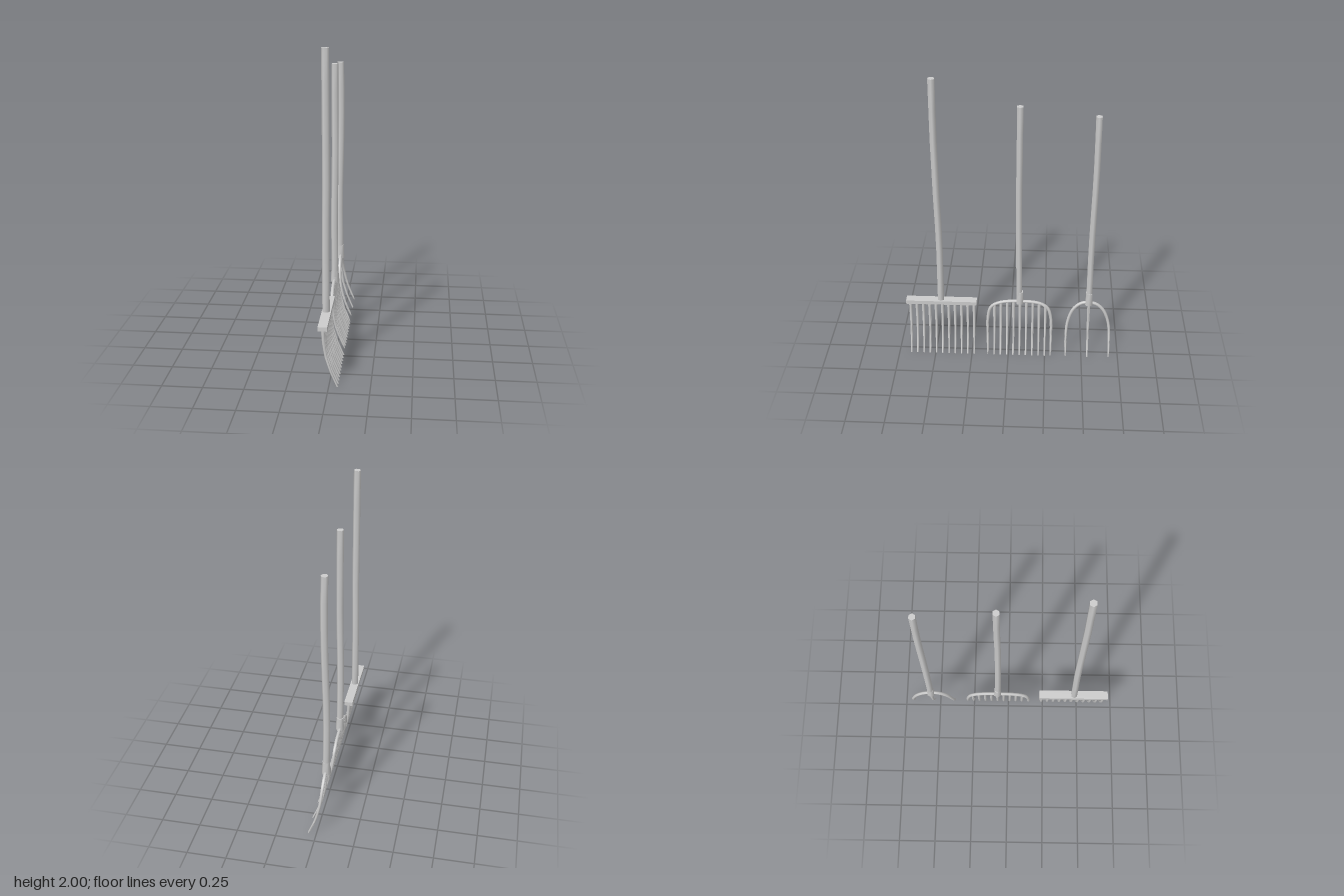
import * as THREE from 'three';
import { toCreasedNormals } from 'three/addons/utils/BufferGeometryUtils.js';

const material = new THREE.MeshStandardMaterial({ color: 0xcccccc });
const TIP = 0.004;

// Piecewise-linear lookup; keys are [input, output] in rising order.
function lookup(keys, t) {
  for (let i = 1; i < keys.length; i++) {
    const [a, va] = keys[i - 1], [b, vb] = keys[i];
    if (t <= b) return va + (vb - va) * Math.max(0, (t - a) / (b - a));
  }
  return keys[keys.length - 1][1];
}

// Forward sweep and thickness shared by every tine.
const SWEEP = [[0, 0.054], [0.1, 0.012], [0.2, -0.018], [0.3, -0.031], [0.4, -0.035]];
const sweepX = (y) => lookup(SWEEP, y);
const tineRadius = (y, top) => 0.006 + (top - 0.006) * Math.min(1, y / 0.35);

// Smooth around the rods, sharp at end caps and box edges.
function mesh(name, geometry) {
  const m = new THREE.Mesh(toCreasedNormals(geometry, 1.2), material);
  m.name = name;
  return m;
}

// Upright cylinder whose rings follow centre(y) -> [x, z] and radius(y).
function upright(name, y0, y1, sides, rings, centre, radius) {
  const g = new THREE.CylinderGeometry(1, 1, y1 - y0, sides, rings, false, Math.PI / 2);
  g.translate(0, (y0 + y1) / 2, 0);
  const p = g.attributes.position;
  for (let i = 0; i < p.count; i++) {
    const y = p.getY(i), [cx, cz] = centre(y), r = radius(y);
    p.setXYZ(i, cx + p.getX(i) * r, y, cz + p.getZ(i) * r);
  }
  return mesh(name, g);
}

// Slightly crooked hexagonal pole; bends are [height fraction, dx, dz].
function pole(y0, y1, x, z, r, bends) {
  const dx = bends.map(([t, a]) => [t, a]), dz = bends.map(([t, , b]) => [t, b]);
  const part = (y) => (y - y0) / (y1 - y0);
  return upright('pole', y0, y1, 6, 8,
    (y) => [x + lookup(dx, part(y)), z + lookup(dz, part(y))], () => r);
}

const tine = (z, top) => upright('tine', TIP, top, 6, 8,
  (y) => [sweepX(y), z], (y) => tineRadius(y, 0.011));

const socket = (x, z) => upright('socket', 0.385, 0.48, 6, 1,
  () => [x, z], (y) => (y > 0.44 ? 0.024 : 0.027));

// Bent rod forming the shoulder and both outer tines, thinning to the tips.
function arch(points) {
  const curve = new THREE.CatmullRomCurve3(
    points.map(([z, y]) => new THREE.Vector3(sweepX(y), y, z)), false, 'centripetal');
  const segments = 44, sides = 6;
  const g = new THREE.TubeGeometry(curve, segments, 1, sides, false);
  const p = g.attributes.position, v = new THREE.Vector3();
  for (let i = 0; i <= segments; i++) {
    const c = curve.getPointAt(i / segments);
    const r = i % segments === 0 ? 0.003 : tineRadius(c.y, 0.0115);
    for (let j = 0; j <= sides; j++) {
      const k = i * (sides + 1) + j;
      v.fromBufferAttribute(p, k).sub(c).multiplyScalar(r).add(c);
      p.setXYZ(k, v.x, v.y, v.z);
    }
  }
  // Height of the rod above a given z, for seating inner tines.
  const samples = curve.getPoints(200).filter((q) => q.y > 0.3);
  const heightAt = (z) => samples.reduce((a, b) =>
    (Math.abs(b.z - z) < Math.abs(a.z - z) ? b : a)).y;
  return { rod: mesh('arch', g), heightAt };
}

function tool(name, ...parts) {
  const g = new THREE.Group();
  g.name = name;
  g.add(...parts);
  return g;
}

export function createModel() {
  const model = new THREE.Group();
  model.name = 'gardenTools';

  // Rake: flat bar with eleven tines
  const bar = mesh('headBar', new THREE.BoxGeometry(0.057, 0.027, 0.477));
  bar.position.set(-0.034, 0.385, 0.455);
  const rake = tool('rake', bar, pole(0.39, 2, -0.036, 0.458, 0.023,
    [[0, 0, 0.001], [0.3, -0.002, -0.005], [0.5, 0.003, 0], [0.75, 0.002, 0.003], [1, 0, 0]]));
  for (let i = 0; i < 11; i++) rake.add(tine(0.236 + i * 0.0432, 0.38));

  // Wide fork: rounded shoulder with eleven tines
  const wide = arch([[0.14, TIP], [0.143, 0.13], [0.142, 0.26], [0.12, 0.345], [0.06, 0.383],
    [-0.073, 0.397], [-0.21, 0.383], [-0.264, 0.345], [-0.287, 0.26], [-0.29, 0.13], [-0.289, TIP]]);
  const wideFork = tool('wideFork', wide.rod, socket(-0.032, -0.075), pole(0.4, 1.833, -0.031, -0.07, 0.022,
    [[0, 0, -0.002], [0.3, -0.004, 0.003], [0.6, 0.003, 0.005], [0.8, 0.001, 0.002], [1, 0, 0.002]]));
  for (let i = 1; i < 10; i++) {
    const z = 0.14 - i * 0.0432;
    wideFork.add(tine(z, wide.heightAt(z)));
  }

  // Three-tined fork
  const narrow = arch([[-0.393, TIP], [-0.391, 0.12], [-0.4, 0.24], [-0.437, 0.345], [-0.49, 0.395],
    [-0.54, 0.402], [-0.59, 0.39], [-0.64, 0.34], [-0.677, 0.24], [-0.686, 0.12], [-0.687, TIP]]);
  const narrowFork = tool('threeTinedFork', narrow.rod, tine(-0.54, 0.4), socket(-0.036, -0.539),
    pole(0.4, 1.775, -0.036, -0.54, 0.022,
      [[0, 0, 0], [0.3, -0.006, 0.003], [0.5, 0, 0], [0.7, 0.005, -0.004], [0.88, 0.004, -0.002], [1, 0, 0]]));

  model.add(rake, wideFork, narrowFork);
  return model;
}
